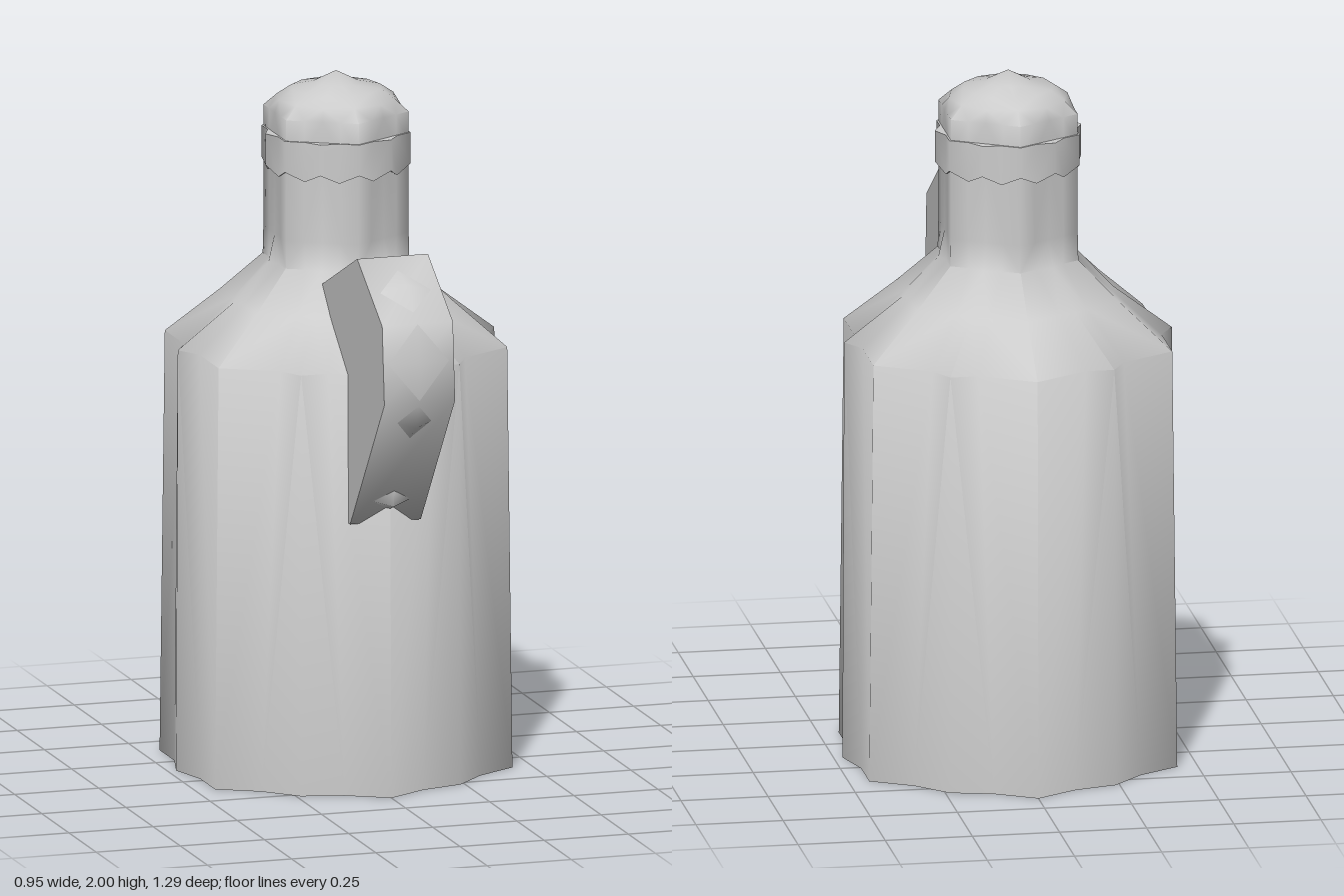
import * as THREE from 'three';
import { toCreasedNormals } from 'three/addons/utils/BufferGeometryUtils.js';

const COLS = 24;
const FLAT = Math.cos(Math.PI / 6);

// Skin a stack of hexagonal rings. Each side may carry a raised rib:
// y = height, r = corner radius, rib = radius of the rib's ridge,
// w = half width of the rib, footY = height of the rib's feet.
function ringSurface(rings, crease) {
  const pos = [], index = [];
  for (const { y, r, rib = r * FLAT, w = r * 0.25, footY = y } of rings) {
    for (let side = 0; side < 6; side++) {
      const mid = ((side + 0.5) * Math.PI) / 3;
      const put = (out, along, h) => pos.push(
        out * Math.sin(mid) + along * Math.cos(mid), h, out * Math.cos(mid) - along * Math.sin(mid));
      put(r * FLAT, -r / 2, y);
      put(r * FLAT, -w, footY);
      put(rib, 0, y);
      put(r * FLAT, w, footY);
    }
  }
  for (let i = 0; i < rings.length - 1; i++) {
    for (let j = 0; j < COLS; j++) {
      const a = i * COLS + j, b = i * COLS + ((j + 1) % COLS);
      const c = b + COLS, d = a + COLS;
      index.push(...(j % 4 < 2 ? [a, b, c, a, c, d] : [a, b, d, b, c, d]));
    }
  }
  const geo = new THREE.BufferGeometry();
  geo.setAttribute('position', new THREE.Float32BufferAttribute(pos, 3));
  geo.setIndex(index);
  return toCreasedNormals(geo, crease);
}

// Twelve-sided round ring
const round = (y, r) => ({ y, r, rib: r, w: r / 2 });

export function createModel() {
  const model = new THREE.Group();
  const material = new THREE.MeshStandardMaterial({ color: 0xcccccc });
  const add = (name, geo, parent) => {
    const mesh = new THREE.Mesh(geo, material);
    mesh.name = name;
    parent.add(mesh);
    return mesh;
  };

  const bottle = new THREE.Group();
  bottle.name = 'bottle';
  bottle.position.z = -0.14;
  model.add(bottle);

  // Ribbed body, sloping shoulder and hexagonal neck
  add('body', ringSurface([
    { y: 0, r: 0.51, rib: 0.475, w: 0.12 },
    { y: 1.22, r: 0.495, rib: 0.47, w: 0.07 },
    { y: 1.35, r: 0.335, rib: 0.3, w: 0.05 },
    { y: 1.46, r: 0.212, rib: 0.2, w: 0.05 },
    { y: 1.54, r: 0.21 },
    { y: 1.8, r: 0.21 },
  ], 1.15), bottle);

  // Recessed base
  add('base', ringSurface([
    round(0.13, 0),
    { y: 0.13, r: 0.475, rib: 0.45, w: 0.11 },
    { y: 0, r: 0.51, rib: 0.475, w: 0.12 },
  ], 1.15), bottle);

  // Collar with a scalloped lower edge
  add('collar', ringSurface([
    { y: 1.74, r: 0.2, rib: 0.18, w: 0.05, footY: 1.72 },
    { y: 1.74, r: 0.216, rib: 0.21, w: 0.05, footY: 1.715 },
    { y: 1.83, r: 0.216, rib: 0.21, w: 0.05 },
    { y: 1.83, r: 0.2, rib: 0.17, w: 0.05 },
  ], 1.15), bottle);

  // Domed cap
  add('cap', ringSurface([
    { y: 1.8, r: 0.21 },
    { y: 1.89, r: 0.21 },
    round(1.925, 0.17),
    round(1.952, 0.13),
    round(1.967, 0.065),
    round(2.0, 0),
  ], 1.15), bottle);

  // Solid handle, profile in (z, y) extruded across x
  const handle = new THREE.Group();
  handle.name = 'handle';
  handle.rotation.y = -Math.PI / 2;
  model.add(handle);
  const profile = [[0.03, 1.418], [0.2, 0.79], [0.315, 0.79], [0.63, 1.205], [0.61, 1.43], [0.38, 1.575]];
  const shape = new THREE.Shape(profile.map(([z, y]) => new THREE.Vector2(z, y)));
  const grip = new THREE.ExtrudeGeometry(shape, { depth: 0.21, bevelEnabled: false });
  grip.translate(0, 0, -0.105);
  add('grip', toCreasedNormals(grip, 1.15), handle);

  // Shallow four-sided studs on the outer faces: z, y, outward direction, half length, half width
  const studs = [
    [0.23, 1.508, -0.41, 0.91, 0.07, 0.055], [0.5, 1.5, 0.53, 0.85, 0.085, 0.075],
    [0.62, 1.32, 1, 0.09, 0.11, 0.09], [0.58, 1.139, 0.8, -0.6, 0.07, 0.05],
    [0.373, 0.866, 0.8, -0.6, 0.04, 0.055],
  ];
  for (const [z, y, nz, ny, half, width] of studs) {
    const geo = new THREE.ConeGeometry(1, 1, 4, 1, true);
    geo.translate(0, 0.5, 0).scale(half, 0.025, width);
    const stud = add('stud', toCreasedNormals(geo, 1.15), handle);
    stud.position.set(z, y, 0);
    stud.rotation.z = Math.atan2(ny, nz) - Math.PI / 2;
  }
  return model;
}
